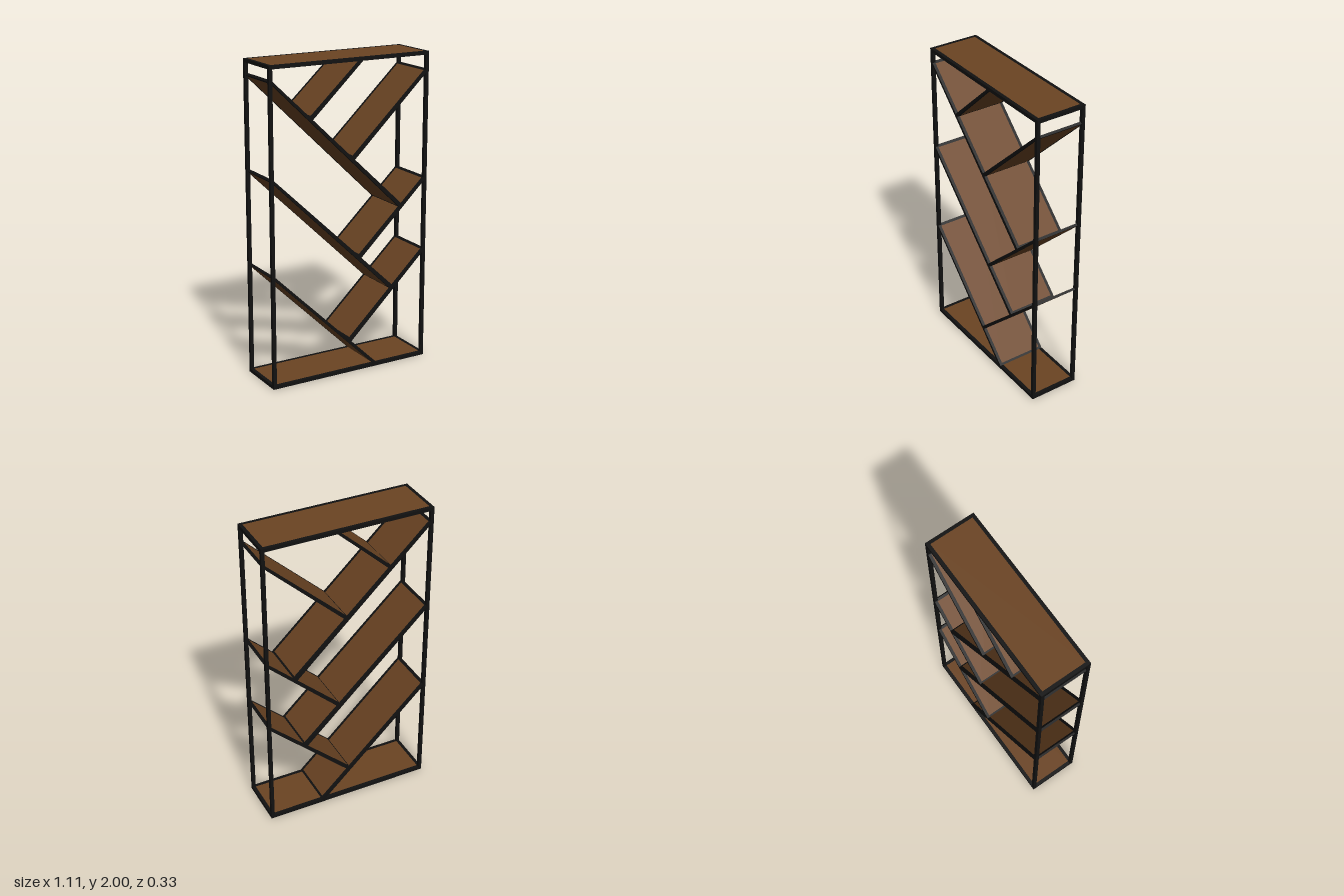
import * as THREE from 'three';

const W = 0.553, D = 0.165, H = 2, BAR = 0.022;

export function createModel() {
  const model = new THREE.Group();
  model.name = 'bookcase';
  const metal = new THREE.MeshStandardMaterial({ color: 0x111111 });
  metal.name = 'black metal';
  const wood = new THREE.MeshStandardMaterial({ color: 0x6b4423 });
  wood.name = 'brown wood';

  const box = (parent, name, mat, size, pos) => {
    const mesh = new THREE.Mesh(new THREE.BoxGeometry(...size), mat);
    mesh.name = name;
    mesh.position.set(...pos);
    parent.add(mesh);
  };

  // corner posts
  for (const sx of [-1, 1]) for (const sz of [-1, 1])
    box(model, 'cornerPost', metal, [BAR, H, BAR], [sx * (W - BAR / 2), H / 2, sz * (D - BAR / 2)]);

  // top and bottom: metal rim around a flush wooden panel
  for (const [name, y] of [['bottom', BAR / 2], ['top', H - BAR / 2]]) {
    const deck = new THREE.Group();
    deck.name = name;
    for (const s of [-1, 1]) {
      box(deck, 'longRail', metal, [2 * (W - BAR), BAR, BAR], [0, y, s * (D - BAR / 2)]);
      box(deck, 'sideRail', metal, [BAR, BAR, 2 * (D - BAR)], [s * (W - BAR / 2), y, 0]);
    }
    box(deck, 'woodPanel', wood, [2 * (W - BAR), BAR, 2 * (D - BAR)], [0, y, 0]);
    model.add(deck);
  }

  // sloping shelf from a to b, thickness running from ta to tb
  const addShelf = (name, a, b, ta, tb) => {
    const shelf = new THREE.Group();
    shelf.name = name;
    const length = Math.hypot(b[0] - a[0], b[1] - a[1]);
    const half = (u) => (ta + (tb - ta) * u / length) / 2;
    const slab = (part, mat, u0, u1, z0, z1) => {
      const profile = new THREE.Shape([
        new THREE.Vector2(u0, -half(u0)), new THREE.Vector2(u1, -half(u1)),
        new THREE.Vector2(u1, half(u1)), new THREE.Vector2(u0, half(u0)),
      ]);
      const geo = new THREE.ExtrudeGeometry(profile, { depth: z1 - z0, bevelEnabled: false });
      geo.translate(0, 0, z0);
      const mesh = new THREE.Mesh(geo, mat);
      mesh.name = part;
      shelf.add(mesh);
    };
    const inner = D - BAR * 0.85, cap = 0.018;
    slab('frontTrim', metal, 0, length, inner, D);
    slab('backTrim', metal, 0, length, -D, -inner);
    slab('upperEndTrim', metal, 0, cap, -inner, inner);
    slab('lowerEndTrim', metal, length - cap, length, -inner, inner);
    slab('woodPanel', wood, cap, length - cap, -inner, inner);
    shelf.position.set(a[0], a[1], 0);
    shelf.rotation.z = Math.atan2(b[1] - a[1], b[0] - a[0]);
    model.add(shelf);
  };

  // shelves falling to the left-hand side
  addShelf('upperLongShelf', [-0.545, 1.91], [0.365, 1.04], 0.015, 0.026);
  addShelf('middleLongShelf', [-0.545, 1.323], [0.305, 0.51], 0.016, 0.026);
  addShelf('lowerLongShelf', [-0.545, 0.725], [0.188, 0.013], 0.016, 0.019);
  // shelves rising to the left-hand side
  addShelf('topShortShelf', [-0.278, 1.659], [0.077, 1.987], 0.021, 0.015);
  addShelf('upperShortShelf', [0.013, 1.384], [0.545, 1.888], 0.021, 0.015);
  addShelf('middleShortShelf', [0.061, 0.749], [0.545, 1.206], 0.021, 0.015);
  addShelf('lowerShortShelf', [-0.008, 0.209], [0.545, 0.735], 0.021, 0.015);

  return model;
}
